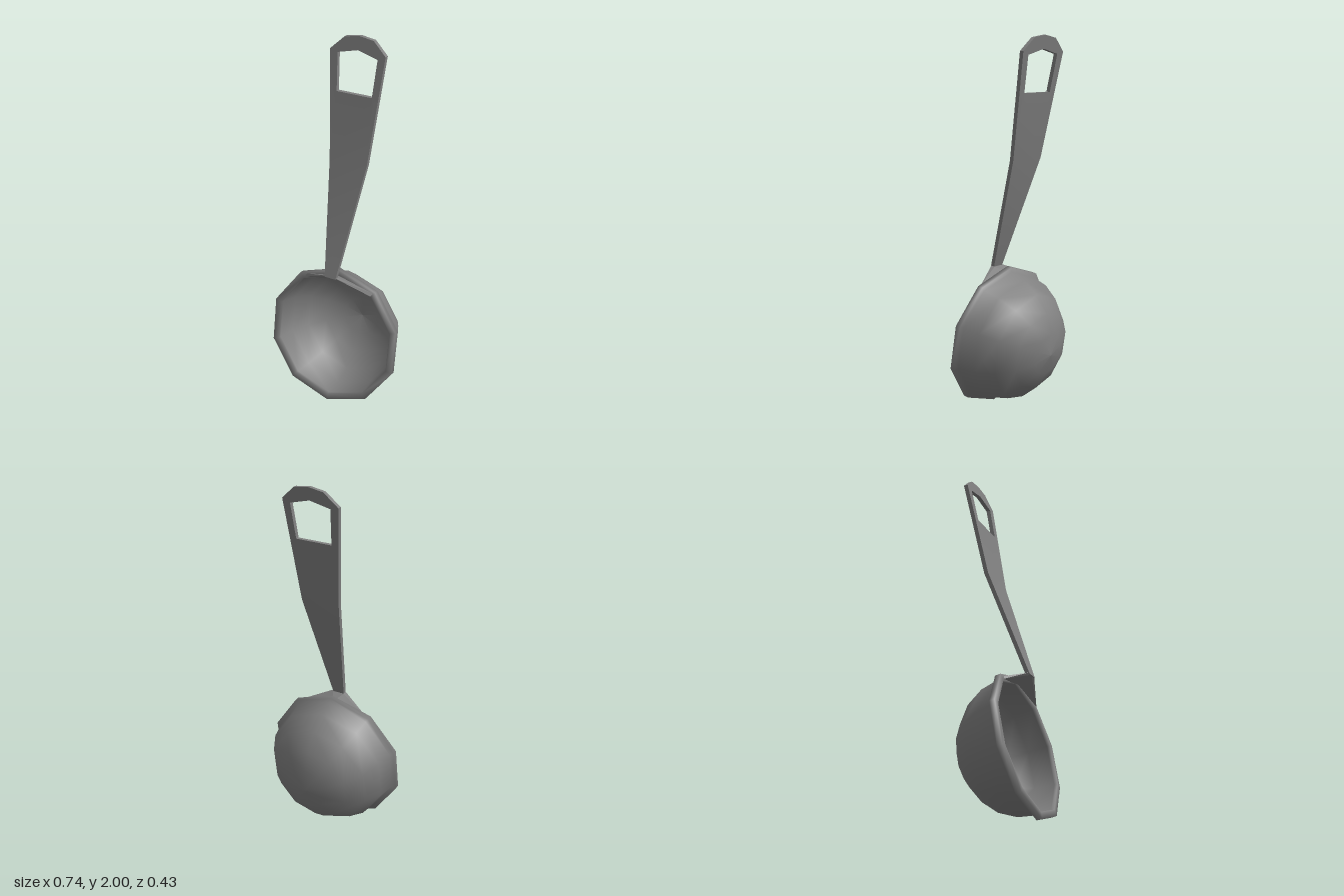
import * as THREE from 'three';
import { mergeGeometries, toCreasedNormals } from 'three/addons/utils/BufferGeometryUtils.js';
import { ConvexGeometry } from 'three/addons/geometries/ConvexGeometry.js';

const SIDES = 10;
const THICK = 0.023;

// Depth of the handle's centre line at a given height (two straight runs with a bend)
function handleZ(y) {
  return y < 1.36
    ? THREE.MathUtils.mapLinear(y, 0.77, 1.36, 0.16, -0.038)
    : THREE.MathUtils.mapLinear(y, 1.36, 2.0, -0.038, -0.157);
}

const vectors = (points) => points.map(([x, y]) => new THREE.Vector2(x, y));

// Flat outline given thickness, then leaned along the handle's line
function handlePlate(outline, hole) {
  const shape = new THREE.Shape(vectors(outline));
  if (hole) shape.holes.push(new THREE.Path(vectors(hole)));
  const geo = new THREE.ExtrudeGeometry(shape, { depth: THICK, bevelEnabled: false });
  const p = geo.attributes.position;
  for (let i = 0; i < p.count; i++) {
    p.setZ(i, p.getZ(i) - THICK / 2 + handleZ(p.getY(i)));
  }
  return geo;
}

export function createModel() {
  const model = new THREE.Group();
  model.name = 'ladle';
  const material = new THREE.MeshStandardMaterial({ color: 0x808080, side: THREE.DoubleSide });
  const add = (name, geo) => {
    const mesh = new THREE.Mesh(geo, material);
    mesh.name = name;
    model.add(mesh);
    return mesh;
  };

  // Scoop: ten-sided hollow hemisphere with a raised rim, mouth facing forward and slightly up
  const dome = (radius, depth) => Array.from({ length: 6 }, (_, i) => {
    const a = (i / 5) * Math.PI / 2;
    return [radius * Math.sin(a), -depth * Math.cos(a)];
  });
  const profile = [
    ...dome(0.364, 0.351).slice(0, 5), [0.364, -0.016],
    [0.39, -0.014], [0.39, 0.016], [0.354, 0.018],
    ...dome(0.352, 0.34).reverse(),
  ];
  const scoop = add('scoop', new THREE.LatheGeometry(vectors(profile), SIDES));
  scoop.position.set(0, 0.386, 0.134);
  scoop.rotation.set(Math.PI / 2 - 0.17, 0.03, 0, 'YXZ');

  // Handle: tapered lower run, then upper run with the hanging hole, smooth over the bend
  const lower = handlePlate([[-0.032, 0.765], [0.034, 0.765], [0.106, 1.36], [-0.116, 1.36]]);
  const upper = handlePlate(
    [[-0.116, 1.36], [0.106, 1.36], [0.149, 1.92], [0.074, 1.988], [-0.01, 2.0], [-0.095, 1.985], [-0.172, 1.915]],
    [[-0.111, 1.708], [-0.126, 1.903], [-0.01, 1.93], [0.106, 1.9], [0.095, 1.708]],
  );
  add('handle', toCreasedNormals(mergeGeometries([lower, upper]), 0.7));

  // Neck webs: spread from the foot of the handle along the rim on both sides
  for (const side of [-1, 1]) {
    const corners = [
      [0, 0.77, 0.17], [0.033, 0.77, 0.17], [0, 0.765, 0.148], [0.033, 0.765, 0.148],
      [0.215, 0.692, 0.09], [0.208, 0.678, 0.103], [0, 0.738, 0.085], [0, 0.727, 0.097],
    ].map(([x, y, z]) => new THREE.Vector3(side * x, y, z));
    add(side > 0 ? 'leftNeckWeb' : 'rightNeckWeb', new ConvexGeometry(corners));
  }

  return model;
}
